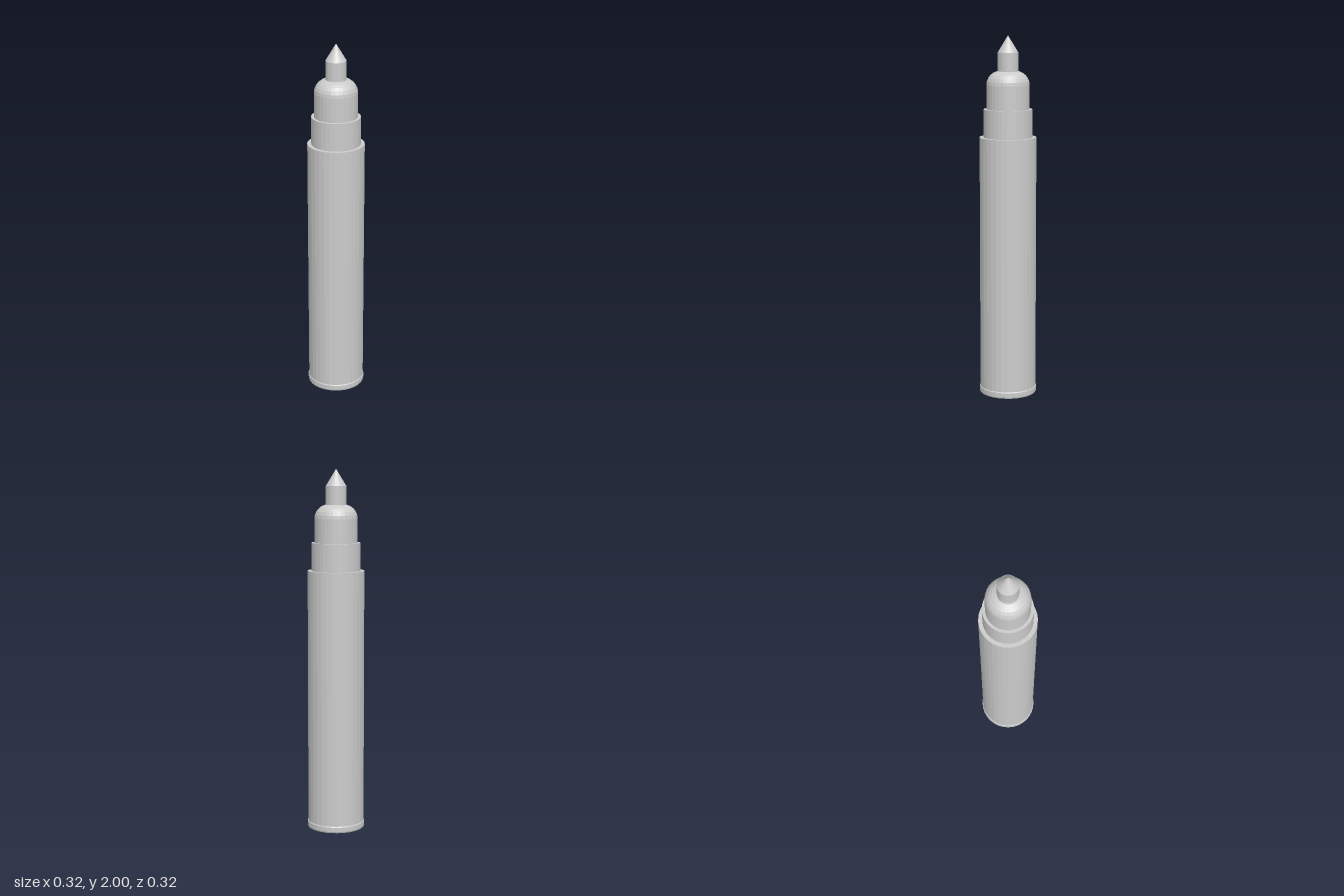
import * as THREE from 'three';

const SIDES = 32;

export function createModel() {
  const group = new THREE.Group();
  const material = new THREE.MeshStandardMaterial({ color: 0xcccccc, flatShading: true });

  // Revolve a [radius, height] profile, listed from bottom to top
  const turn = (name, profile) => {
    const points = profile.map(([r, y]) => new THREE.Vector2(r, y));
    const mesh = new THREE.Mesh(new THREE.LatheGeometry(points, SIDES), material);
    mesh.name = name;
    group.add(mesh);
  };

  // End cap with slightly softened rims
  turn('endCap', [[0, 0], [0.157, 0], [0.16, 0.007], [0.16, 0.032], [0.157, 0.037], [0, 0.037]]);

  // Main barrel and the stepped collar above it
  turn('barrel', [[0, 0.03], [0.156, 0.03], [0.156, 1.447], [0, 1.447]]);
  turn('collar', [[0, 1.44], [0.134, 1.44], [0.134, 1.6], [0, 1.6]]);

  // Nib holder: straight wall rounded over into a flat top
  const holder = [[0, 1.59], [0.118, 1.59]];
  const fillet = 0.076;
  for (let i = 0; i <= 6; i++) {
    const a = (i / 6) * Math.PI / 2;
    holder.push([0.118 - fillet + fillet * Math.cos(a), 1.732 + fillet * Math.sin(a)]);
  }
  holder.push([0, 1.808]);
  turn('nibHolder', holder);

  // Pointed nib
  turn('nib', [[0, 1.79], [0.056, 1.79], [0.056, 1.908], [0, 2]]);

  return group;
}
